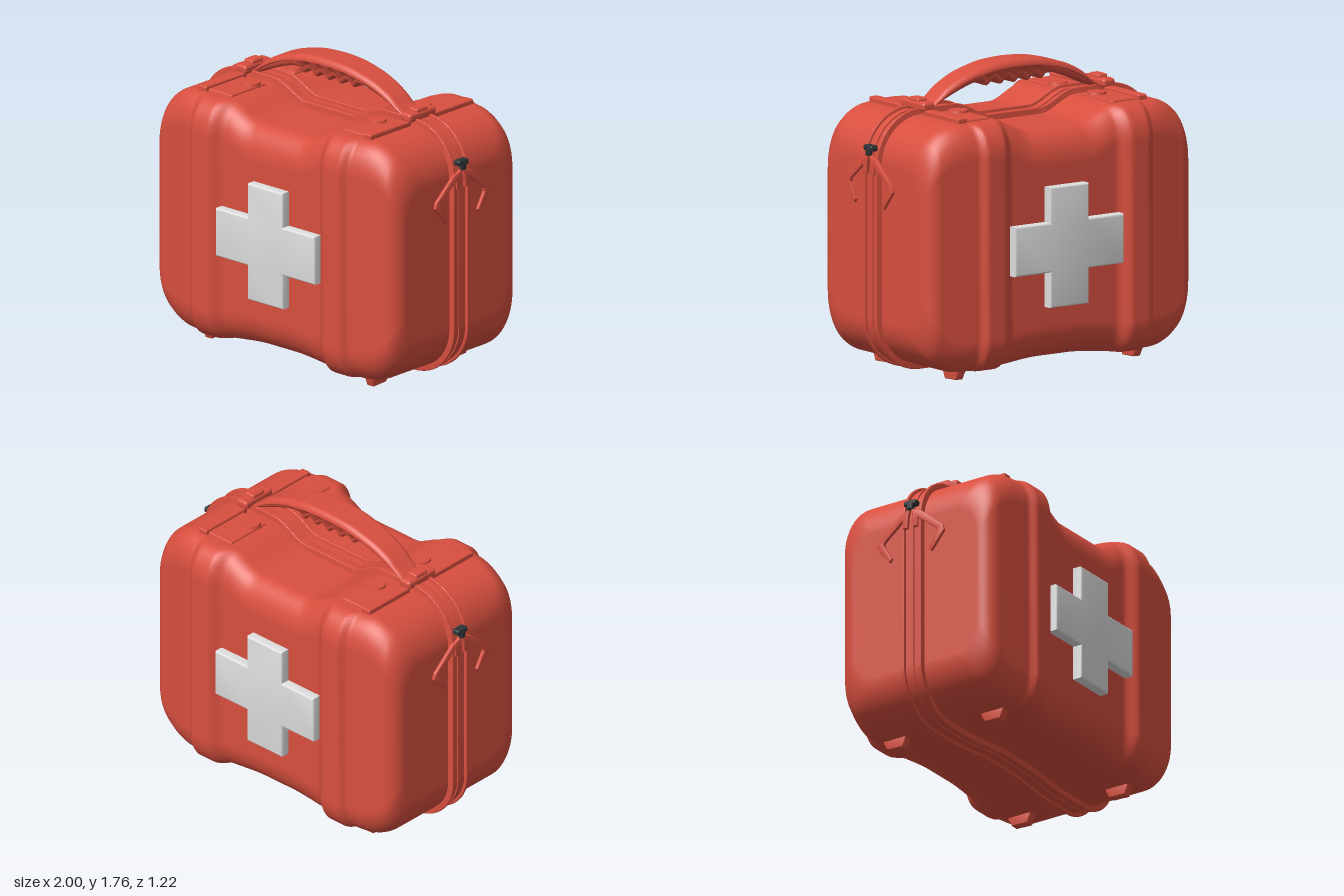
import * as THREE from 'three';
import { toCreasedNormals } from 'three/addons/utils/BufferGeometryUtils.js';
import { RoundedBoxGeometry } from 'three/addons/geometries/RoundedBoxGeometry.js';

const red = new THREE.MeshStandardMaterial({ color: 0xd84f3f });
red.name = 'red shell';
const white = new THREE.MeshStandardMaterial({ color: 0xdedede });
white.name = 'pale grey';
const black = new THREE.MeshStandardMaterial({ color: 0x2e3234 });
black.name = 'dark zip metal';

// Smoothed lookup in a short table of [x, value] pairs
function lookup(table, x) {
  for (let i = 1; i < table.length; i++) {
    const [x0, v0] = table[i - 1], [x1, v1] = table[i];
    if (x <= x1) return v0 + (v1 - v0) * THREE.MathUtils.smoothstep(x, x0, x1);
  }
  return table[table.length - 1][1];
}

// Case dimensions as functions of |x|
const CORNER_X = 0.67, CORNER_R = 0.27, END_X = CORNER_X + CORNER_R;
const cornerDrop = (x) =>
  x <= CORNER_X ? 0 : CORNER_R - Math.sqrt(Math.max(0, CORNER_R ** 2 - (x - CORNER_X) ** 2));
const caseTop = (x) => lookup([[0.18, 1.42], [0.43, 1.51]], Math.max(0.18, x)) - cornerDrop(x);
const caseBottom = (x) => lookup([[0.1, 0.09], [0.48, 0.06]], Math.max(0.1, x)) + cornerDrop(x);
function caseDepth(x) {
  if (x > 0.84) return 0.43 + 0.105 * Math.sqrt(Math.max(0, 1 - ((x - 0.84) / 0.1) ** 2));
  if (x > 0.64) return 0.565 - 0.15 * (x - 0.64);
  return lookup([[0, 0.55], [0.37, 0.55], [0.455, 0.605], [0.57, 0.605], [0.61, 0.568], [0.64, 0.565]], x);
}

// Rounded cross-section as [z, y] points; the lower half may be narrower
function section(top, bottom, halfWidth, rz, ry, taper = 1) {
  const pts = [], n = 10;
  const a = Math.min(rz, halfWidth * 0.98), b = Math.min(ry, (top - bottom) * 0.49);
  for (let q = 0; q < 4; q++) {
    const sz = q === 0 || q === 3 ? 1 : -1, sy = q < 2 ? 1 : -1;
    for (let k = 0; k <= n; k++) {
      const t = ((q + k / n) * Math.PI) / 2;
      const z = sz * (halfWidth - a) + a * Math.cos(t);
      const y = (sy > 0 ? top - b : bottom + b) + b * Math.sin(t);
      pts.push([sy > 0 ? z : z * taper, y]);
    }
  }
  return pts;
}

// Skin over cross-sections placed along x, closed at both ends
function loft(xs, sectionAt) {
  const pos = [], idx = [], rings = xs.map(sectionAt), m = rings[0].length;
  rings.forEach((ring, i) => ring.forEach(([z, y]) => pos.push(xs[i], y, z)));
  for (let i = 0; i < xs.length - 1; i++) {
    for (let j = 0; j < m; j++) {
      const a = i * m + j, c = i * m + ((j + 1) % m);
      idx.push(a, a + m, c, a + m, c + m, c);
    }
  }
  for (const end of [0, xs.length - 1]) {
    const ys = rings[end].map((p) => p[1]), centre = pos.length / 3;
    pos.push(xs[end], (Math.max(...ys) + Math.min(...ys)) / 2, 0);
    for (let j = 0; j < m; j++) {
      const a = end * m + j, b = end * m + ((j + 1) % m);
      if (end === 0) idx.push(centre, a, b);
      else idx.push(centre, b, a);
    }
  }
  const g = new THREE.BufferGeometry();
  g.setAttribute('position', new THREE.Float32BufferAttribute(pos, 3));
  g.setIndex(idx);
  g.computeVertexNormals();
  return g;
}

// Stations along x, packed closely round the end corners
function caseStations() {
  const half = [];
  for (let i = 1; i <= 45; i++) half.push((CORNER_X * i) / 45);
  for (let i = 1; i <= 24; i++) half.push(CORNER_X + CORNER_R * Math.sin((i / 24) * Math.PI / 2));
  return [...half.map((x) => -x).reverse(), 0, ...half];
}

// Case outline seen from the front, pushed outward by a distance
function outline(offset) {
  const xs = caseStations();
  const pts = [
    ...xs.map((x) => new THREE.Vector2(x, caseBottom(Math.abs(x)))),
    ...xs.reverse().map((x) => new THREE.Vector2(x, caseTop(Math.abs(x)))),
  ];
  const n = pts.length;
  return new THREE.Shape(pts.map((p, i) => {
    const d = pts[(i + 1) % n].clone().sub(pts[(i + n - 1) % n]).normalize();
    return new THREE.Vector2(p.x + d.y * offset, p.y - d.x * offset);
  }));
}

function extrude(shape, depth, bevel = 0) {
  const g = new THREE.ExtrudeGeometry(shape, {
    depth: depth - 2 * bevel, bevelEnabled: bevel > 0, bevelThickness: bevel,
    bevelSize: bevel, bevelOffset: -bevel, bevelSegments: 3,
  });
  g.translate(0, 0, bevel - depth / 2);
  return toCreasedNormals(g, 0.6);
}

const polygon = (pts) => new THREE.Shape(pts.map(([x, y]) => new THREE.Vector2(x, y)));

export function createModel() {
  const model = new THREE.Group();
  model.name = 'firstAidCase';
  const add = (name, geometry, material, x = 0, y = 0, z = 0) => {
    const mesh = new THREE.Mesh(geometry, material);
    mesh.name = name;
    mesh.position.set(x, y, z);
    model.add(mesh);
    return mesh;
  };
  const box = (w, h, d, r) => new RoundedBoxGeometry(w, h, d, 3, r);

  // Padded case with ridges and a dip below the handle
  add('caseBody', loft(caseStations(), (x) => {
    const a = Math.abs(x);
    return section(caseTop(a), caseBottom(a), caseDepth(a), 0.14, 0.2);
  }), red);

  // Zip running round the case: recessed tape between two piped edges
  add('zipTape', extrude(outline(0.018), 0.11), red);
  add('zipTeeth', extrude(outline(0.025), 0.02), red);
  for (const s of [-1, 1]) add('zipPiping', extrude(outline(0.037), 0.018, 0.005), red, 0, 0, s * 0.058);

  // Arched handle with finger grooves
  const handleTop = [[0, 1.76], [0.1, 1.756], [0.2, 1.743], [0.35, 1.703], [0.47, 1.645], [0.54, 1.59], [0.6, 1.545]];
  const handleLow = [[0, 1.65], [0.25, 1.65], [0.32, 1.637], [0.42, 1.6], [0.52, 1.555], [0.6, 1.525]];
  const curve = (t) => new THREE.SplineCurve(t.map(([x, y]) => new THREE.Vector2(x, y)));
  const upper = curve(handleTop).getPoints(120), lower = curve(handleLow).getPoints(120);
  const heightAt = (pts, x) => {
    const i = Math.max(1, pts.findIndex((p) => p.x >= x - 1e-6));
    const p = pts[i - 1], q = pts[i];
    return p.y + ((q.y - p.y) * (x - p.x)) / (q.x - p.x);
  };
  const handleXs = Array.from({ length: 121 }, (_, i) => -0.6 + i * 0.01);
  add('handle', loft(handleXs, (x) => {
    const a = Math.min(0.6, Math.abs(x));
    const groove = a < 0.23 ? 0.028 * Math.abs(Math.cos((a / 0.096) * Math.PI / 2 * 2 / 2)) ** 3 : 0;
    const low = heightAt(lower, a) - (a < 0.23 ? 0.028 * Math.abs(Math.cos((a / 0.096) * Math.PI)) ** 3 * (a > 0.21 ? 0.6 : 1) : groove);
    const width = 0.103 - 0.03 * (a / 0.6) ** 2;
    return section(heightAt(upper, a), low, width, 0.035, 0.04, 0.75);
  }), red);

  for (const s of [-1, 1]) {
    // Handle anchors
    add('handleAnchor', box(0.085, 0.055, 0.23, 0.02), red, s * 0.638, 1.555, 0);
    add('anchorCap', box(0.07, 0.035, 0.1, 0.014), red, s * 0.638, 1.582, 0);

    // Zip slider and its forked cord pull at each end
    add('zipSlider', box(0.05, 0.035, 0.085, 0.012), black, s * 0.972, 1.338, 0);
    add('zipSliderTab', box(0.03, 0.05, 0.04, 0.01), black, s * 0.985, 1.318, 0);
    for (const f of [-1, 1]) {
      const pull = polygon([
        [0, 1.31], [0.03, 1.29], [0.075, 1.275], [0.225, 1.145], [0.235, 1.11],
        [0.145, 1.0], [0.128, 1.02], [0.185, 1.115], [0.18, 1.135], [0.055, 1.235],
        [0.05, 1.185], [0.02, 1.185], [0.015, 1.25],
      ].map(([z, y]) => [f * z, y]));
      add('zipPull', extrude(pull, 0.022, 0.005), red, s * 0.977, 0, 0).rotation.y = Math.PI / 2;

      // Strap plates and snap buttons on the top
      add('strapPlate', box(0.235, 0.04, 0.3, 0.012), red, s * 0.55, 1.503, f * 0.27);
      add('strapBand', box(0.062, 0.05, 0.35, 0.01), red, s * 0.638, 1.514, f * 0.265);
      add('snapButton', new THREE.CylinderGeometry(0.055, 0.062, 0.03, 32), red, s * 0.49, 1.522, f * 0.19);

      // Feet
      const foot = polygon([[-0.08, 0.09], [-0.075, 0.045], [-0.055, 0], [0.05, 0.005], [0.075, 0.05], [0.08, 0.09]]);
      add('foot', extrude(foot, 0.055, 0.006), red, s * 0.628, 0, f * 0.34).rotation.y = Math.PI / 2;
    }
  }

  // Raised plus-shaped badges on the front and back
  const w = 0.137, h = 0.385, v = 0.352, t = 0.145;
  const plus = polygon([
    [-w, -v], [w, -v], [w, -t], [h, -t], [h, t], [w, t],
    [w, v], [-w, v], [-w, t], [-h, t], [-h, -t], [-w, -t],
  ]);
  for (const s of [-1, 1]) add(s > 0 ? 'frontCross' : 'backCross', extrude(plus, 0.08, 0.012), white, 0, 0.752, s * 0.568);

  return model;
}
